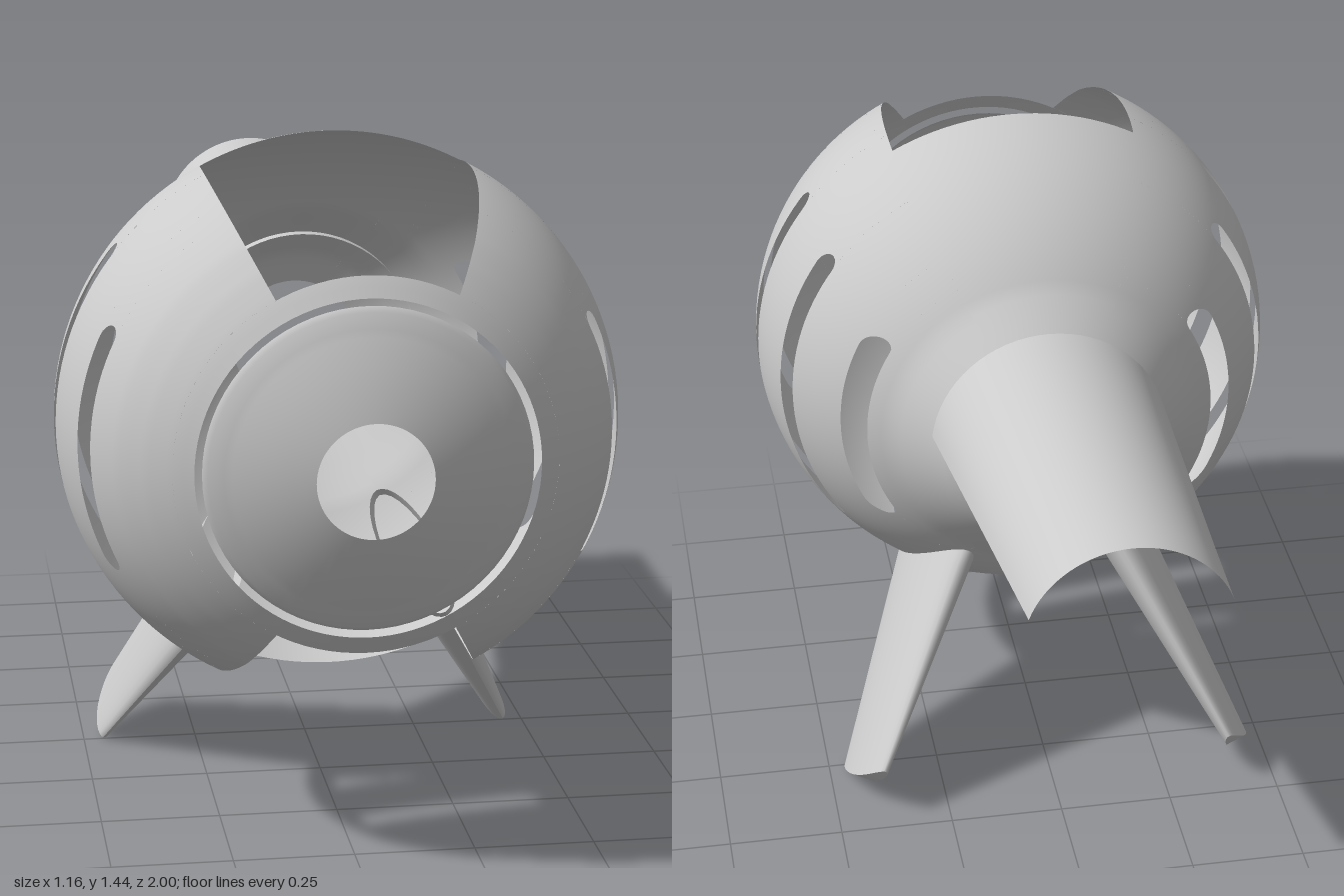
import * as THREE from 'three';

const CY = 0.86, CZ = 0.47, RAD = 0.58;   // sphere centre and radius
const WIN = THREE.MathUtils.degToRad(62); // window edge, measured from horizontal
const FRONT = 0.915, WIN_BACK = 0.38, WIN_FRONT = 0.89, REAR = -0.17;
const material = new THREE.MeshStandardMaterial({ color: 0xcccccc, side: THREE.DoubleSide });

// Shell radius along z: sphere with a tapered rear neck and a trimmed front
const NECK = [[-0.17, 0.14], [-0.14, 0.21], [-0.06, 0.285], [0, 0.34]];
const NOSE = [[0.8, 0.477], [0.85, 0.43], [0.89, 0.38], [0.915, 0.34]];
function lookup(points, z) {
  let i = 1;
  while (i < points.length - 1 && z > points[i][0]) i++;
  const [z0, r0] = points[i - 1], [z1, r1] = points[i];
  return r0 + (r1 - r0) * (z - z0) / (z1 - z0);
}
function radius(z) {
  if (z < 0) return lookup(NECK, z);
  if (z > 0.8) return lookup(NOSE, z);
  return Math.sqrt(RAD * RAD - (z - CZ) ** 2);
}

// Grid surface from a point function of u, v in 0..1
function surface(nu, nv, point, normal) {
  const pos = [], nor = [], index = [];
  for (let j = 0; j <= nv; j++) {
    for (let i = 0; i <= nu; i++) {
      pos.push(...point(i / nu, j / nv));
      if (normal) nor.push(...normal(i / nu, j / nv));
      if (i < nu && j < nv) {
        const a = j * (nu + 1) + i, b = a + nu + 1;
        index.push(a, a + 1, b + 1, a, b + 1, b);
      }
    }
  }
  const g = new THREE.BufferGeometry();
  g.setAttribute('position', new THREE.Float32BufferAttribute(pos, 3));
  g.setIndex(index);
  if (normal) g.setAttribute('normal', new THREE.Float32BufferAttribute(nor, 3));
  else g.computeVertexNormals();
  return g;
}

function addMesh(parent, name, geometry) {
  const mesh = new THREE.Mesh(geometry, material);
  mesh.name = name;
  parent.add(mesh);
  return mesh;
}

// Piece of the shell between z0 and z1, from angle lo(z) to angle hi(z)
function shellPiece(parent, name, z0, z1, lo, hi, nu, nv) {
  const at = (u, v) => {
    const z = z0 + (z1 - z0) * (1 - Math.cos(Math.PI * v)) / 2;
    return [lo(z) + (hi(z) - lo(z)) * u, z];
  };
  const point = (u, v) => {
    const [a, z] = at(u, v), r = radius(z);
    return [r * Math.cos(a), CY + r * Math.sin(a), z];
  };
  const normal = (u, v) => {
    const [a, z] = at(u, v), e = 0.012;
    const za = Math.max(REAR, z - e), zb = Math.min(FRONT, z + e);
    const slope = (radius(zb) - radius(za)) / (zb - za);
    return new THREE.Vector3(Math.cos(a), Math.sin(a), -slope).normalize().toArray();
  };
  addMesh(parent, name, surface(nu, nv, point, normal));
}

function createShell() {
  const shell = new THREE.Group();
  shell.name = 'shell';
  const W = 0.026;
  // Side slots: centre z and half height
  const slots = [[0.06, 0.222], [0.25, 0.33], [0.475, 0.37], [0.69, 0.25]];
  for (const turn of [0, Math.PI]) {
    const fixed = a => () => a + turn;
    // Side walls with rounded vertical slots
    let z = REAR;
    for (const [c, half] of slots) {
      shellPiece(shell, 'sideWall', z, c - W, fixed(-WIN), fixed(WIN), 48, 14);
      const reach = s => zz => {
        const end = Math.sqrt(Math.max(0, W * W - (zz - c) ** 2));
        return turn + s * Math.asin((half - W + end) / radius(zz));
      };
      shellPiece(shell, 'slotUpperEnd', c - W, c + W, reach(1), fixed(WIN), 16, 12);
      shellPiece(shell, 'slotLowerEnd', c - W, c + W, fixed(-WIN), reach(-1), 16, 12);
      z = c + W;
    }
    shellPiece(shell, 'sideWall', z, WIN_FRONT, fixed(-WIN), fixed(WIN), 48, 14);
    // Roof and floor behind the two windows
    shellPiece(shell, 'windowBackWall', REAR, WIN_BACK, fixed(WIN), fixed(Math.PI - WIN), 22, 36);
  }
  // Ring closing the windows at the front
  shellPiece(shell, 'frontRing', WIN_FRONT, FRONT, () => 0, () => 2 * Math.PI, 96, 4);
  return shell;
}

// Domed front cap with a round opening
function createCap(parent) {
  const profile = [[0.325, 0.912], [0.315, 0.924], [0.285, 0.935], [0.27, 0.943],
    [0.22, 0.966], [0.16, 0.988], [0.115, 1.0]].map(p => new THREE.Vector2(...p));
  const cap = addMesh(parent, 'frontCap', new THREE.LatheGeometry(profile, 72));
  cap.rotation.x = Math.PI / 2;
  cap.position.y = CY;
}

// Long rear fin: a tapering arched channel
function createTail(parent) {
  const mix = THREE.MathUtils.lerp;
  addMesh(parent, 'tail', surface(32, 12, (u, v) => {
    const half = mix(0.258, 0.2, v), top = mix(1.13, 1.18, v), bottom = mix(0.905, 1.04, v);
    const rise = top - bottom, r = (half * half + rise * rise) / (2 * rise);
    const start = Math.asin((r - rise) / r);
    const a = mix(Math.PI - start, start, u);
    return [r * Math.cos(a), top - r + r * Math.sin(a), mix(-0.05, -1, v)];
  }));
}

// Swept-back leg with a lens section, thinning toward the foot
function createLeg(name, side) {
  const leg = new THREE.Group();
  leg.name = name;
  const mix = THREE.MathUtils.lerp;
  // v runs from root to foot, k shrinks the section toward its middle
  const point = (u, v, k) => {
    const a = u * 2 * Math.PI, c = k * Math.cos(a), f = (1 + c) / 2;
    const trail = [mix(0.34, 0.835, v), mix(0.02, -0.21, v)];
    const lead = [mix(0.55, 0.974, v), mix(0.34, 0, v)];
    const bulge = v * 0.02 * (1 - c * c);
    return [
      -k * mix(0.058, 0.024, v) * Math.sin(a),
      -(mix(trail[0], lead[0], f) + bulge),
      mix(trail[1], lead[1], f) - bulge * 0.6,
    ];
  };
  addMesh(leg, 'legBlade', surface(32, 10, (u, v) => point(u, v, 1)));
  addMesh(leg, 'foot', surface(32, 4, (u, v) => point(u, 1, 1 - v)));
  leg.position.y = CY;
  leg.rotation.z = side * THREE.MathUtils.degToRad(28);
  return leg;
}

export function createModel() {
  const model = new THREE.Group();
  model.name = 'model';
  model.add(createShell());
  createCap(model);
  createTail(model);
  model.add(createLeg('leftLeg', 1), createLeg('rightLeg', -1));
  return model;
}
